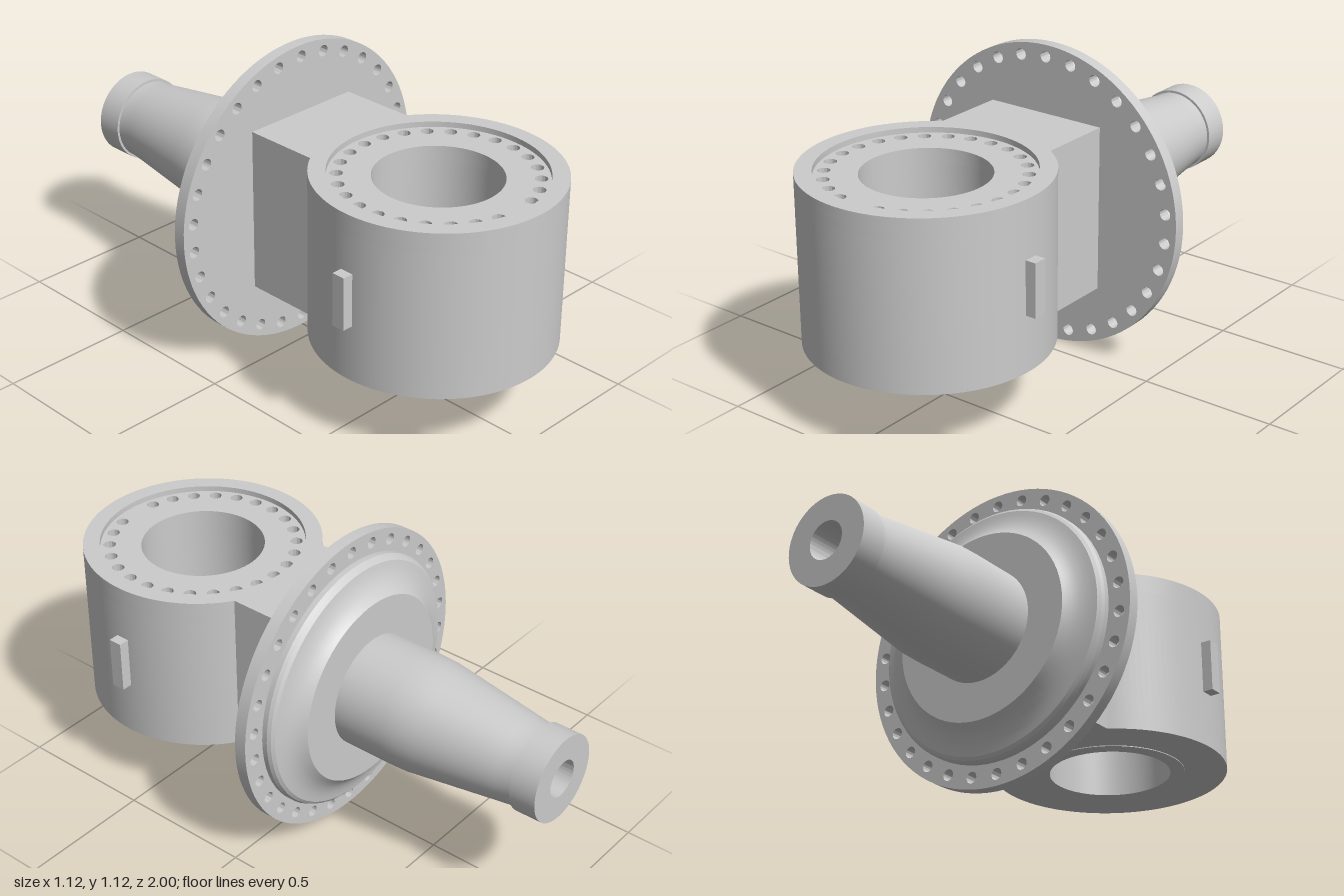
import * as THREE from 'three';
import { toCreasedNormals } from 'three/addons/utils/BufferGeometryUtils.js';

const AXIS_Y = 0.558;   // height of the flange and shaft axis
const BARREL_Z = 0.57;  // centre of the upright barrel
const BARREL_R = 0.43;
const BASE = 0.257, FLOOR = 0.845, TOP = 0.865;

export function createModel() {
  const model = new THREE.Group();
  model.name = 'hubBracket';
  const material = new THREE.MeshStandardMaterial({ color: 0xcccccc });

  const add = (name, geometry, x = 0, y = 0, z = 0) => {
    const mesh = new THREE.Mesh(geometry, material);
    mesh.name = name;
    mesh.position.set(x, y, z);
    model.add(mesh);
  };

  const hole = (shape, x, y, r) => {
    const path = new THREE.Path();
    path.absarc(x, y, r, 0, Math.PI * 2, true);
    shape.holes.push(path);
  };

  const extrude = (shape, depth, curveSegments) => toCreasedNormals(
    new THREE.ExtrudeGeometry(shape, { depth, bevelEnabled: false, curveSegments }), 0.5);

  // Revolves [radius, distance towards the back] pairs about the z axis
  const turned = (profile) => toCreasedNormals(
    new THREE.LatheGeometry(profile.map(([r, d]) => new THREE.Vector2(r, d)), 72)
      .rotateX(-Math.PI / 2), 0.35);

  // Barrel and square neck share one outline (shape y points to the back)
  const neckHalf = 0.235, neckEnd = BARREL_Z + 0.075;
  const outline = (boreRadius) => {
    const shape = new THREE.Shape();
    const a = Math.acos(neckHalf / BARREL_R);
    shape.moveTo(neckHalf, neckEnd);
    shape.lineTo(-neckHalf, neckEnd);
    shape.absarc(0, 0, BARREL_R, Math.PI - a, Math.PI * 2 + a, false);
    shape.closePath();
    hole(shape, 0, 0, boreRadius);
    return shape;
  };
  const layer = (name, shape, y0, y1) =>
    add(name, extrude(shape, y1 - y0, 48).rotateX(-Math.PI / 2), 0, y0, BARREL_Z);

  const BORE = 0.222, POCKET = FLOOR - 0.05;
  layer('barrelBody', outline(BORE), BASE, POCKET);

  // Recessed bolt ring, with the frontmost hole left out
  const boltLayer = outline(BORE);
  for (let i = 0; i < 26; i++) {
    if (i === 13) continue;
    const a = (i / 26) * Math.PI * 2;
    hole(boltLayer, 0.336 * Math.sin(a), 0.336 * Math.cos(a), 0.022);
  }
  layer('barrelBoltRing', boltLayer, POCKET, FLOOR);
  layer('barrelRim', outline(0.37), FLOOR, TOP);

  // Thin lip under the bore
  const lip = new THREE.Shape();
  lip.absarc(0, 0, 0.275, 0, Math.PI * 2, false);
  hole(lip, 0, 0, BORE);
  layer('bottomLip', lip, BASE - 0.003, BASE);

  // Side lugs
  for (const [name, s] of [['leftLug', 1], ['rightLug', -1]]) {
    add(name, new THREE.BoxGeometry(0.06, 0.194, 0.05), s * 0.438, 0.561, BARREL_Z);
  }

  // Bolted flange
  const flange = new THREE.Shape();
  flange.absarc(0, 0, 0.558, 0, Math.PI * 2, false);
  for (let i = 0; i < 30; i++) {
    const a = (i / 30) * Math.PI * 2;
    hole(flange, 0.515 * Math.sin(a), 0.515 * Math.cos(a), 0.021);
  }
  add('flange', extrude(flange, 0.045, 48), 0, AXIS_Y, -0.115);

  // Stepped, hollow-curved hub behind the flange
  add('hub', turned([
    [0.472, 0.11], [0.472, 0.135], [0.466, 0.148], [0.455, 0.157], [0.44, 0.16],
    [0.42, 0.165], [0.395, 0.175], [0.372, 0.19], [0.358, 0.204], [0.35, 0.212], [0.15, 0.212],
  ]), 0, AXIS_Y, 0);

  // Tapered shaft, end collar and blind centre bore
  add('shaft', turned([
    [0.207, 0.2], [0.207, 0.4], [0.205, 0.47], [0.197, 0.53], [0.155, 0.84],
    [0.151, 0.87], [0.15, 0.9], [0.159, 0.9], [0.159, 1], [0.068, 1], [0.068, 0.75], [0.001, 0.75],
  ]), 0, AXIS_Y, 0);

  return model;
}
